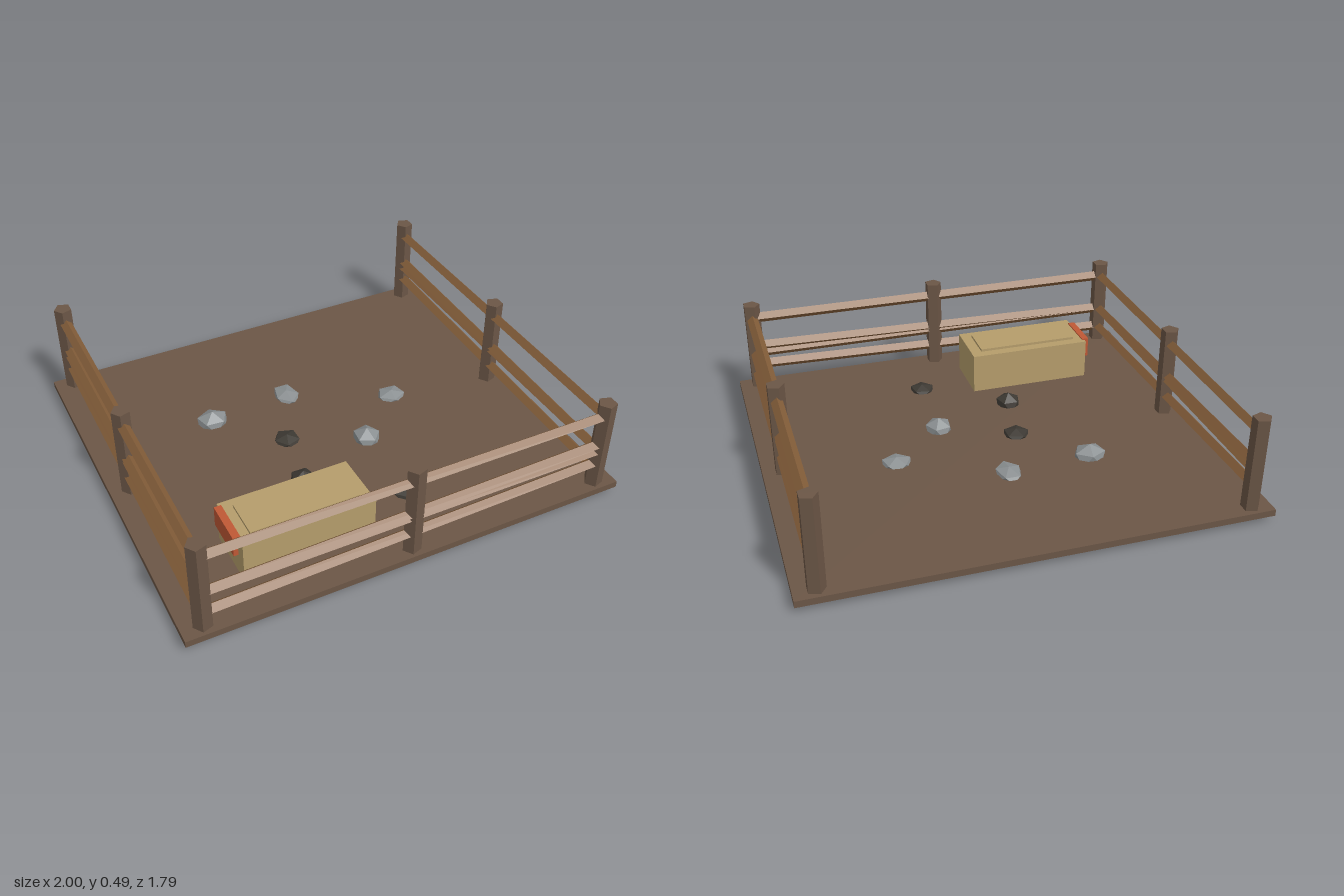
import * as THREE from 'three';

const mat = (name, color) => {
  const m = new THREE.MeshStandardMaterial({ color });
  m.name = name;
  m.flatShading = true;
  return m;
};

export function createModel() {
  const soil = mat('soil brown', 0x6b5646);
  const timber = mat('rail wood', 0x87603b);
  const straw = mat('straw', 0xb59d6b);
  const red = mat('red clay', 0xbf5835);
  const paleStone = mat('pale stone', 0x8b9092);
  const darkStone = mat('dark stone', 0x3d3933);

  const model = new THREE.Group();
  model.name = 'paddock';
  const add = (name, geometry, material, x, y, z) => {
    const mesh = new THREE.Mesh(geometry, material);
    mesh.name = name;
    mesh.position.set(x, y, z);
    model.add(mesh);
    return mesh;
  };
  // Box given by its minimum and maximum corners
  const box = (name, material, [x0, y0, z0], [x1, y1, z1]) =>
    add(name, new THREE.BoxGeometry(x1 - x0, y1 - y0, z1 - z0), material,
      (x0 + x1) / 2, (y0 + y1) / 2, (z0 + z1) / 2);

  box('ground', soil, [-1, 0.03, -0.895], [1, 0.06, 0.895]);

  // Five-sided posts with one corner towards -x
  const PX = 0.908, PZ = 0.842;
  const postGeometry = new THREE.CylinderGeometry(0.041, 0.041, 0.45, 5);
  postGeometry.rotateY(-Math.PI / 2);
  const posts = [[0, PZ]];
  for (const x of [-PX, PX]) for (const z of [-PZ, 0, PZ]) posts.push([x, z]);
  for (const [x, z] of posts) add('post', postGeometry, soil, x, 0.265, z);

  // Diamond-section rails: [start height, end height]
  const rails = [[0.42, 0.42], [0.235, 0.235], [0.235, 0.27], [0.13, 0.17]];
  const up = new THREE.Vector3(0, 1, 0);
  const rail = (a, b) => {
    const dir = b.clone().sub(a);
    const mid = a.clone().add(b).multiplyScalar(0.5);
    const mesh = add('rail', new THREE.CylinderGeometry(0.026, 0.026, dir.length(), 4),
      timber, mid.x, mid.y, mid.z);
    mesh.quaternion.setFromUnitVectors(up, dir.normalize());
  };
  for (const [h0, h1] of rails) {
    rail(new THREE.Vector3(-PX, h0, PZ), new THREE.Vector3(PX, h1, PZ));
    for (const x of [-PX, PX]) {
      rail(new THREE.Vector3(x, h0, PZ), new THREE.Vector3(x, h1, -PZ));
    }
  }

  // Straw-coloured trough with a raised top panel and a red end block
  box('trough', straw, [-0.68, 0.06, 0.445], [-0.097, 0.25, 0.71]);
  box('troughTop', straw, [-0.628, 0.25, 0.49], [-0.148, 0.262, 0.664]);
  box('endBlock', red, [-0.7, 0.16, 0.465], [-0.668, 0.256, 0.66]);

  // Faceted rocks half sunk in the ground, one corner pointing up
  const rockGeometry = new THREE.IcosahedronGeometry(1, 0);
  rockGeometry.rotateZ(Math.atan(2 / (1 + Math.sqrt(5))));
  const rocks = [ // material, x, z, half width, half height, half depth, turn
    [paleStone, -0.42, -0.27, 0.08, 0.058, 0.069, -0.4],
    [paleStone, -0.03, -0.3, 0.063, 0.03, 0.085, 0.3],
    [paleStone, 0.42, -0.08, 0.074, 0.03, 0.065, 0.2],
    [paleStone, 0.165, 0.15, 0.068, 0.058, 0.071, 0.5],
    [darkStone, -0.165, 0, 0.065, 0.03, 0.065, 0],
    [darkStone, -0.22, 0.285, 0.063, 0.058, 0.065, 0.3],
    [darkStone, 0.145, 0.54, 0.063, 0.03, 0.063, 0.15],
  ];
  for (const [material, x, z, w, h, d, turn] of rocks) {
    const g = rockGeometry.clone().rotateY(turn).scale(w, h, d);
    add('rock', g, material, x, 0.059, z);
  }
  return model;
}
